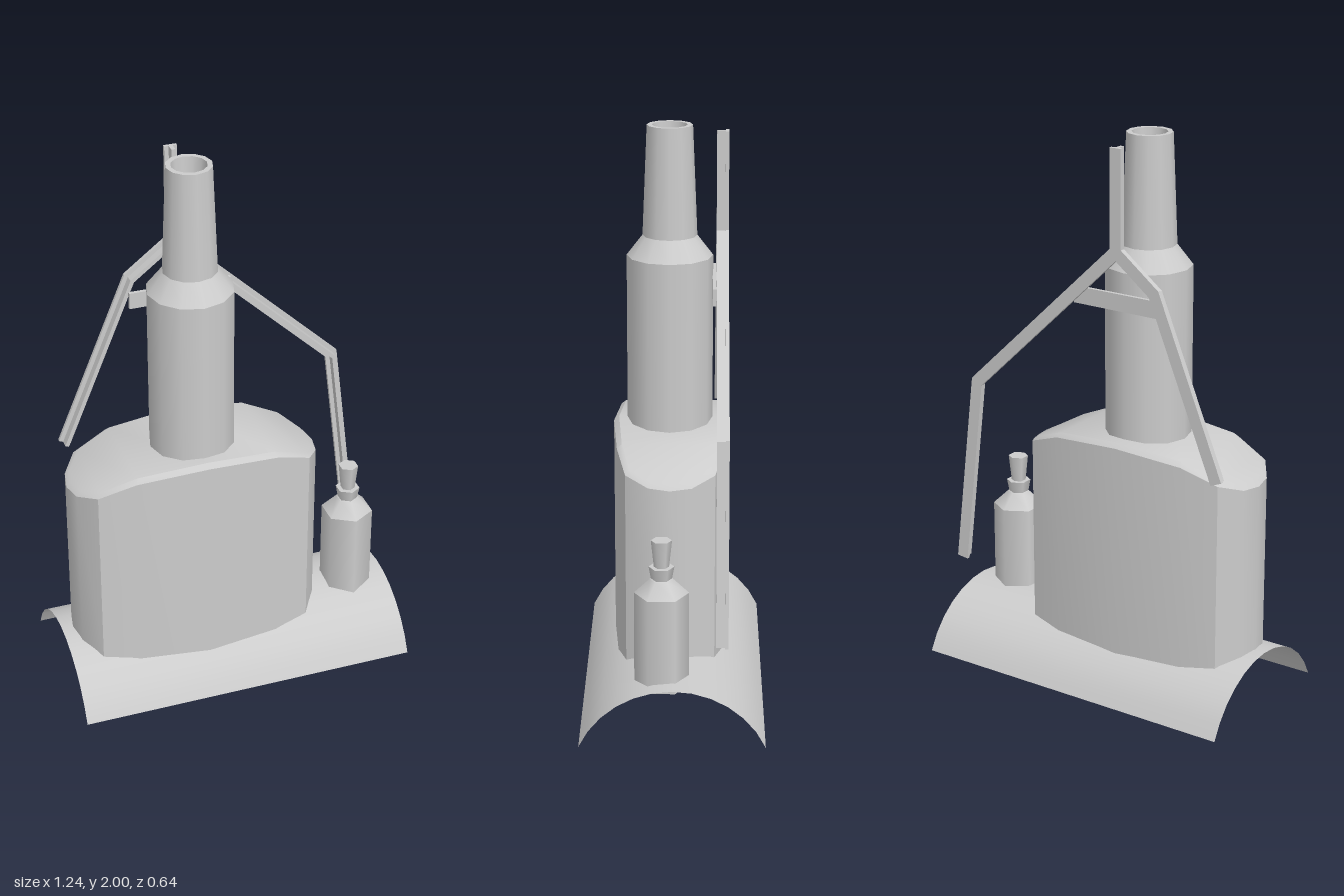
import * as THREE from 'three';
import { mergeGeometries, toCreasedNormals } from 'three/addons/utils/BufferGeometryUtils.js';

const material = new THREE.MeshStandardMaterial({ color: 0xcccccc });
const thinMaterial = new THREE.MeshStandardMaterial({ color: 0xcccccc, side: THREE.DoubleSide });

// The saddle is an arc around the x axis
const R = 0.349, ARC_Y = -0.139, HALF_Z = 0.319;
const saddleY = z => Math.sqrt(R * R - z * z) + ARC_Y;

function part(name, geometry, mat = material) {
  const mesh = new THREE.Mesh(geometry, mat);
  mesh.name = name;
  return mesh;
}

// Turned form: smooth around, sharp between the [radius, y] steps
function turned(profile, sides) {
  const bands = [];
  for (let i = 0; i < profile.length - 1; i++) {
    const pts = [profile[i], profile[i + 1]].map(p => new THREE.Vector2(...p));
    bands.push(new THREE.LatheGeometry(pts, sides));
  }
  return mergeGeometries(bands);
}

// Flat bar of constant width along a path in the xy plane, with mitred corners
function bar(path, width, z0, z1) {
  const pts = path.map(p => new THREE.Vector2(...p));
  const left = [], right = [];
  pts.forEach((p, i) => {
    const a = pts[Math.max(i - 1, 0)], b = pts[Math.min(i + 1, pts.length - 1)];
    const d0 = (i > 0 ? p.clone().sub(a) : b.clone().sub(p)).normalize();
    const d1 = (i < pts.length - 1 ? b.clone().sub(p) : d0.clone()).normalize();
    const n0 = new THREE.Vector2(-d0.y, d0.x), n1 = new THREE.Vector2(-d1.y, d1.x);
    const m = n0.clone().add(n1).normalize();
    m.multiplyScalar(width / 2 / m.dot(n0));
    left.push(p.clone().add(m));
    right.unshift(p.clone().sub(m));
  });
  const geometry = new THREE.ExtrudeGeometry(new THREE.Shape([...left, ...right]), { depth: z1 - z0, bevelEnabled: false });
  return geometry.translate(0, 0, z0);
}

function saddleGeometry() {
  const geometry = new THREE.PlaneGeometry(1.244, 2, 1, 12).rotateX(-Math.PI / 2);
  const pos = geometry.attributes.position, span = Math.asin(HALF_Z / R);
  for (let i = 0; i < pos.count; i++) {
    const a = pos.getZ(i) * span;
    pos.setY(i, R * Math.cos(a) + ARC_Y);
    pos.setZ(i, R * Math.sin(a));
  }
  geometry.computeVertexNormals();
  return geometry;
}

// Rounded tank: rings for the curved foot, the wall top and the chamfered, arched lid
function tankGeometry() {
  const CX = -0.12, CZ = 0.01;
  // half length, half depth, wall height
  const quarter = [[0.46, 0, 0.825], [0.445, 0.075, 0.83], [0.39, 0.155, 0.858], [0.26, 0.187, 0.908], [0, 0.206, 0.928]];
  const front = [...quarter, ...quarter.slice(0, -1).reverse().map(([x, z, h]) => [-x, z, h])];
  const last = front.length - 1;
  const back = front.slice(1, last).reverse().map(([x, z, h]) => [x, -z, h]);
  const outline = [...front, ...back], n = outline.length;
  const foot = outline.map(([x, z]) => [CX + x, saddleY(CZ + z) - 0.004, CZ + z]);
  const rim = outline.map(([x, z, h]) => [CX + x, h, CZ + z]);
  const lid = outline.map(([x, z, h]) => [CX + x * 0.965, h + 0.016, CZ + z * 0.91]);
  const v = [];
  const quad = (a, b, c, d) => v.push(...a, ...b, ...c, ...a, ...c, ...d);
  for (const [low, up] of [[foot, rim], [rim, lid]]) {
    for (let i = 0; i < n; i++) {
      const j = (i + 1) % n;
      quad(low[i], up[i], up[j], low[j]);
    }
  }
  for (let i = 0; i < last; i++) {
    quad(lid[(n - i - 1) % n], lid[i + 1], lid[i], lid[(n - i) % n]);
  }
  const geometry = new THREE.BufferGeometry();
  geometry.setAttribute('position', new THREE.Float32BufferAttribute(v, 3));
  return toCreasedNormals(geometry, 0.68);
}

export function createModel() {
  const model = new THREE.Group();
  model.name = 'model';

  model.add(part('saddle', saddleGeometry(), thinMaterial));
  model.add(part('tank', tankGeometry()));

  // Stepped tower with a hollow mouth
  const tower = part('tower', turned([
    [0.152, 0.9], [0.152, 1.54], [0.096, 1.612], [0.08, 2.0],
    [0.062, 2.0], [0.055, 1.9], [0, 1.87],
  ], 12));
  tower.position.set(-0.12, 0, 0.015);
  model.add(tower);

  // Six-sided bottle with collar and flared stopper
  const bottle = part('bottle', turned([
    [0, 0.17], [0.094, 0.17], [0.094, 0.51], [0.04, 0.56],
    [0.036, 0.562], [0.044, 0.605], [0.026, 0.605], [0.036, 0.7], [0, 0.7],
  ], 6));
  bottle.position.set(0.475, 0, 0.037);
  model.add(bottle);

  // Forked frame of T-section bars behind the tower
  const frame = new THREE.Group();
  frame.name = 'frame';
  const fork = [-0.12, 1.625];
  const runs = {
    post: [fork, [-0.12, 1.98]],
    leftArm: [fork, [0.482, 1.052], [0.567, 0.35]],
    rightArm: [fork, [-0.275, 1.505], [-0.53, 0.885]],
  };
  for (const [name, path] of Object.entries(runs)) {
    frame.add(part(name + 'Flange', bar(path, 0.045, -0.19, -0.178)));
    frame.add(part(name + 'Web', bar(path, 0.014, -0.178, -0.148)));
  }
  frame.add(part('crossbar', bar([[-0.29, 1.437], [0.08, 1.437]], 0.06, -0.148, -0.135)));
  model.add(frame);

  return model;
}
